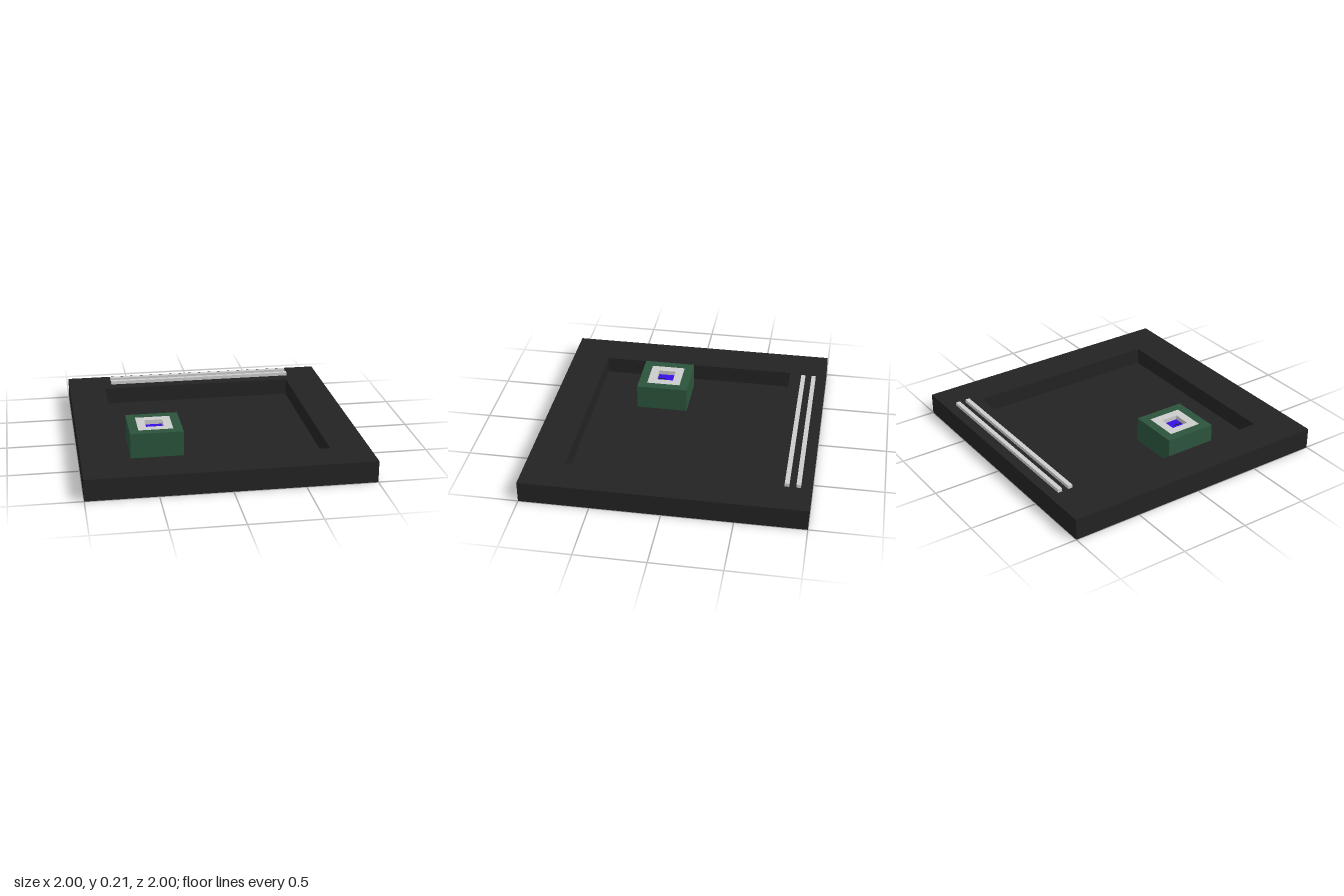
import * as THREE from 'three';

const mat = (color) => new THREE.MeshStandardMaterial({ color });

// Square frame lying flat: half sizes outer/inner, from y0 to y1
function frame(name, outer, inner, y0, y1, material) {
  const square = (Type, h) => {
    const s = new Type();
    s.moveTo(-h, -h); s.lineTo(h, -h); s.lineTo(h, h); s.lineTo(-h, h);
    s.closePath();
    return s;
  };
  const shape = square(THREE.Shape, outer);
  shape.holes.push(square(THREE.Path, inner));
  const geo = new THREE.ExtrudeGeometry(shape, { depth: y1 - y0, bevelEnabled: false });
  geo.rotateX(-Math.PI / 2);
  const mesh = new THREE.Mesh(geo, material);
  mesh.name = name;
  mesh.position.y = y0;
  return mesh;
}

function box(name, w, h, d, x, y0, z, material) {
  const mesh = new THREE.Mesh(new THREE.BoxGeometry(w, h, d), material);
  mesh.name = name;
  mesh.position.set(x, y0 + h / 2, z);
  return mesh;
}

export function createModel() {
  const model = new THREE.Group();
  const black = mat(0x232323), green = mat(0x2b543c), blue = mat(0x360fe4), grey = mat(0xcccccc);
  const floorY = 0.03, rimY = 0.155, topY = 0.213;

  // Shallow square tray
  const tray = new THREE.Group();
  tray.name = 'tray';
  tray.add(
    frame('trayRim', 1, 0.725, floorY, rimY, black),
    box('trayFloor', 2, floorY, 2, 0, 0, 0, black),
  );
  model.add(tray);

  // Two thin rails along the back rim
  for (const z of [-0.91, -0.83]) {
    model.add(box('rail', 1.42, 0.025, 0.032, 0.04, rimY, z, grey));
  }

  // Nested block standing on the tray floor, with a sunken centre
  const block = new THREE.Group();
  block.name = 'block';
  block.position.set(-0.445, 0, 0.21);
  block.add(
    frame('blockShell', 0.19, 0.125, floorY, topY, green),
    frame('blockInset', 0.125, 0.064, floorY, topY, grey),
    box('blockCore', 0.128, 0.15, 0.128, 0, floorY, 0, blue),
    box('coreHand', 0.006, 0.004, 0.06, 0, 0.18, 0.032, black),
  );
  model.add(block);

  return model;
}
